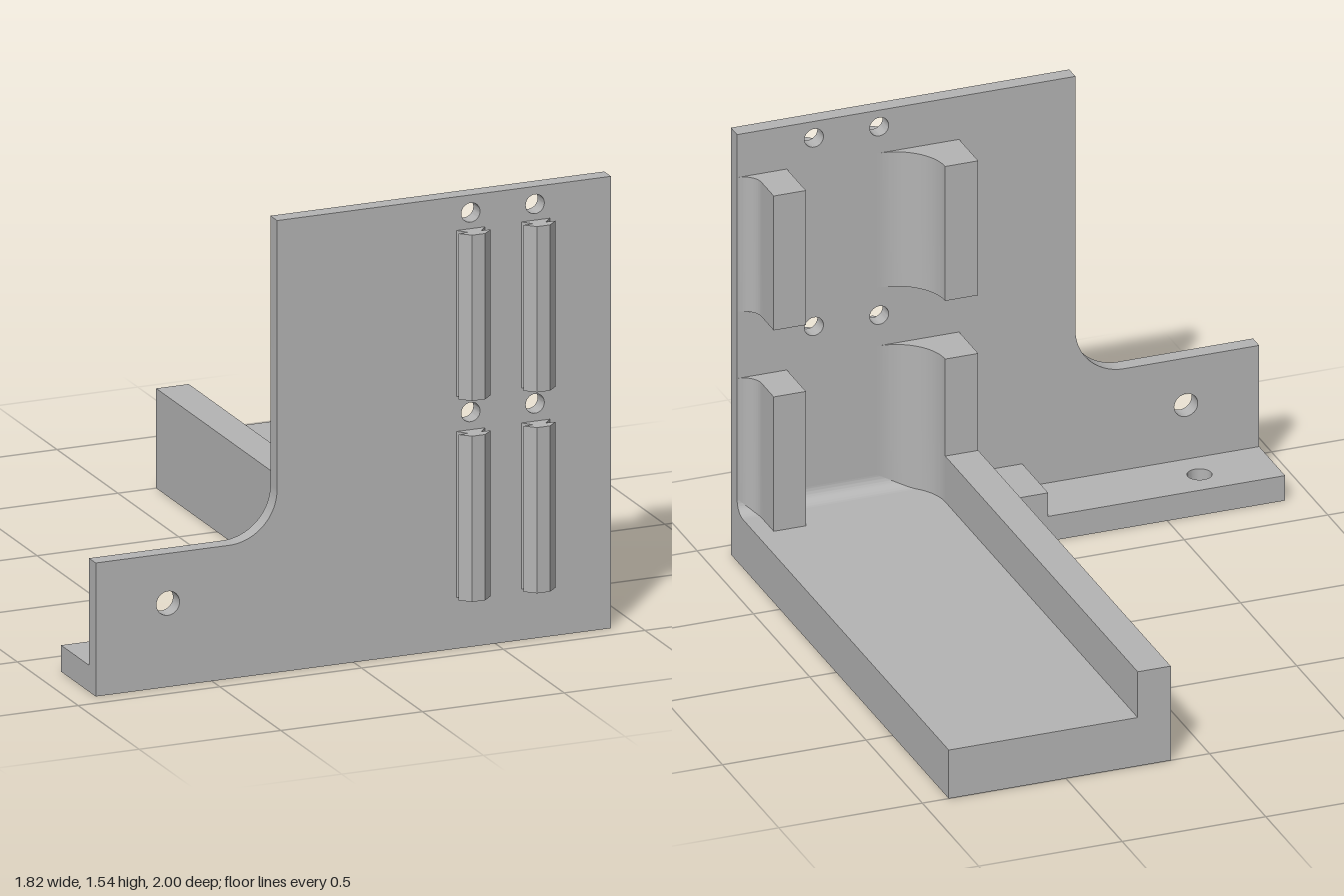
import * as THREE from 'three';
import { toCreasedNormals } from 'three/addons/utils/BufferGeometryUtils.js';

export function createModel() {
  const group = new THREE.Group();
  const grey = new THREE.MeshStandardMaterial({ color: 0xb4b4b4 });
  grey.name = 'plain grey';

  const add = (name, geometry) => {
    const mesh = new THREE.Mesh(geometry, grey);
    mesh.name = name;
    group.add(mesh);
  };
  const box = (name, x0, x1, y0, y1, z0, z1) =>
    add(name, new THREE.BoxGeometry(x1 - x0, y1 - y0, z1 - z0)
      .translate((x0 + x1) / 2, (y0 + y1) / 2, (z0 + z1) / 2));
  const extrude = (shape, depth) => toCreasedNormals(
    new THREE.ExtrudeGeometry(shape, { depth, bevelEnabled: false, curveSegments: 16 }), 0.5);
  // plan shapes are drawn in (x, -z) and raised from y0 to y1
  const raise = (shape, y0, y1) => extrude(shape, y1 - y0).rotateX(-Math.PI / 2).translate(0, y0, 0);
  const polygon = (points) => new THREE.Shape(points.map(([x, y]) => new THREE.Vector2(x, y)));
  const drill = (shape, x, y, r) =>
    shape.holes.push(new THREE.Path().absarc(x, y, r, 0, Math.PI * 2, true));

  // upright plate with a rounded inner corner and drilled holes
  const plate = new THREE.Shape();
  plate.moveTo(-0.91, 0);
  plate.lineTo(0.908, 0);
  plate.lineTo(0.908, 1.54);
  plate.lineTo(-0.27, 1.54);
  plate.lineTo(-0.27, 0.625);
  plate.absarc(-0.44, 0.625, 0.17, 0, -Math.PI / 2, true);
  plate.lineTo(-0.91, 0.455);
  drill(plate, -0.655, 0.285, 0.041);
  for (const x of [0.413, 0.64]) for (const y of [0.8, 1.48]) drill(plate, x, y, 0.033);
  add('uprightPlate', extrude(plate, 0.055).translate(0, 0, 0.88));

  // notched rails on the front
  for (const x of [0.413, 0.642]) {
    const rail = polygon([
      [x - 0.05, -0.935], [x - 0.023, -0.967], [x - 0.057, -0.967], [x - 0.023, -1],
      [x + 0.023, -1], [x + 0.057, -0.967], [x + 0.023, -0.967], [x + 0.05, -0.935],
    ]);
    for (const y of [0.175, 0.86]) add('frontRail', raise(rail, y, y + 0.565));
  }

  // long tray with one raised lip
  box('tray', 0.135, 0.908, 0, 0.175, -1, 0.88);
  box('trayLip', 0.135, 0.25, 0.175, 0.34, -1, 0.71);

  // rounded joint between tray and plate
  const joint = new THREE.Shape();
  joint.moveTo(-0.88, 0.175);
  joint.lineTo(-0.83, 0.175);
  joint.absarc(-0.83, 0.225, 0.05, -Math.PI / 2, -Math.PI, true);
  add('trayJoint', extrude(joint, 0.658).rotateY(Math.PI / 2).translate(0.25, 0, 0));

  // guide blocks behind the plate, each with a hollow curve on its left
  const guide = (x0, x1, r) => {
    const s = new THREE.Shape();
    s.moveTo(x0, -0.71);
    s.lineTo(x0, -0.88);
    s.lineTo(x1 + r, -0.88);
    s.absarc(x1 + r, r - 0.88, r, -Math.PI / 2, -Math.PI, true);
    if (r < 0.165) s.lineTo(x1, -0.71);
    return s;
  };
  const inner = guide(0.135, 0.25, 0.17);
  const outer = guide(0.735, 0.847, 0.061);
  add('innerGuideLower', raise(inner, 0.175, 0.69));
  add('innerGuideUpper', raise(inner, 0.9, 1.385));
  add('outerGuideLower', raise(outer, 0.175, 0.66));
  add('outerGuideUpper', raise(outer, 0.9, 1.385));

  // mounting foot with a hole and a taller step beside the tray
  const foot = polygon([[-0.91, -0.88], [-0.085, -0.88], [-0.085, -0.65], [-0.91, -0.65]]);
  drill(foot, -0.655, -0.76, 0.041);
  add('mountingFoot', raise(foot, 0, 0.09));
  box('footStep', -0.085, 0.135, 0, 0.175, 0.65, 0.88);

  return group;
}
